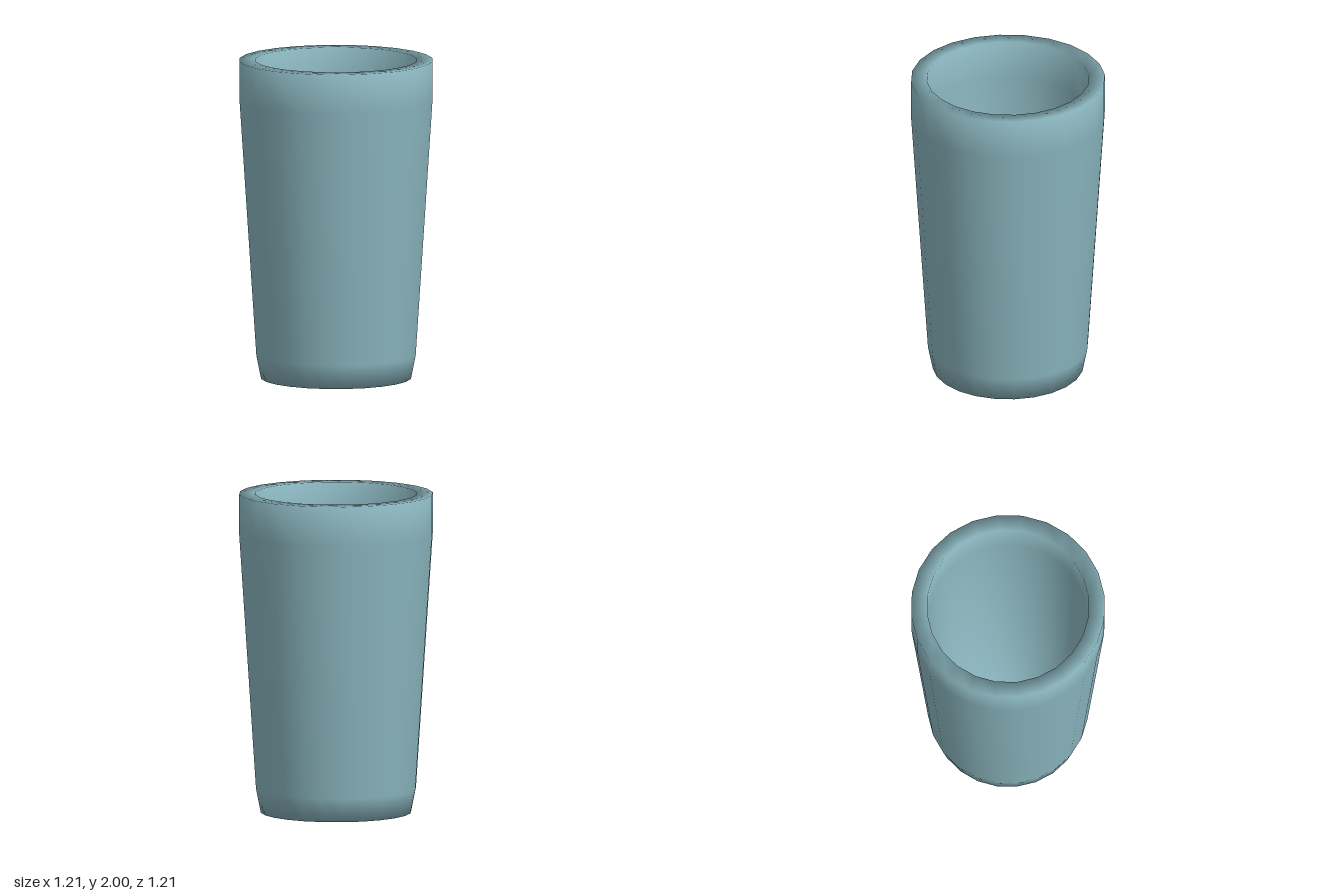
import * as THREE from 'three';

export function createModel() {
  const group = new THREE.Group();
  group.name = 'tumbler';

  // Closed cup profile: underside, outer wall, rim, inner wall, inner floor
  const profile = [
    [0, 0], [0.47, 0], [0.5, 0.15], [0.605, 1.75], [0.605, 2],
    [0.505, 2], [0.5, 1.75], [0.4, 0.15], [0, 0.12],
  ].map(([r, y]) => new THREE.Vector2(r, y));

  // One smooth 24-sided shell
  const cup = new THREE.Mesh(
    new THREE.LatheGeometry(profile, 24),
    new THREE.MeshStandardMaterial({ color: 0x8ab5be })
  );
  cup.name = 'cup';
  group.add(cup);
  return group;
}
